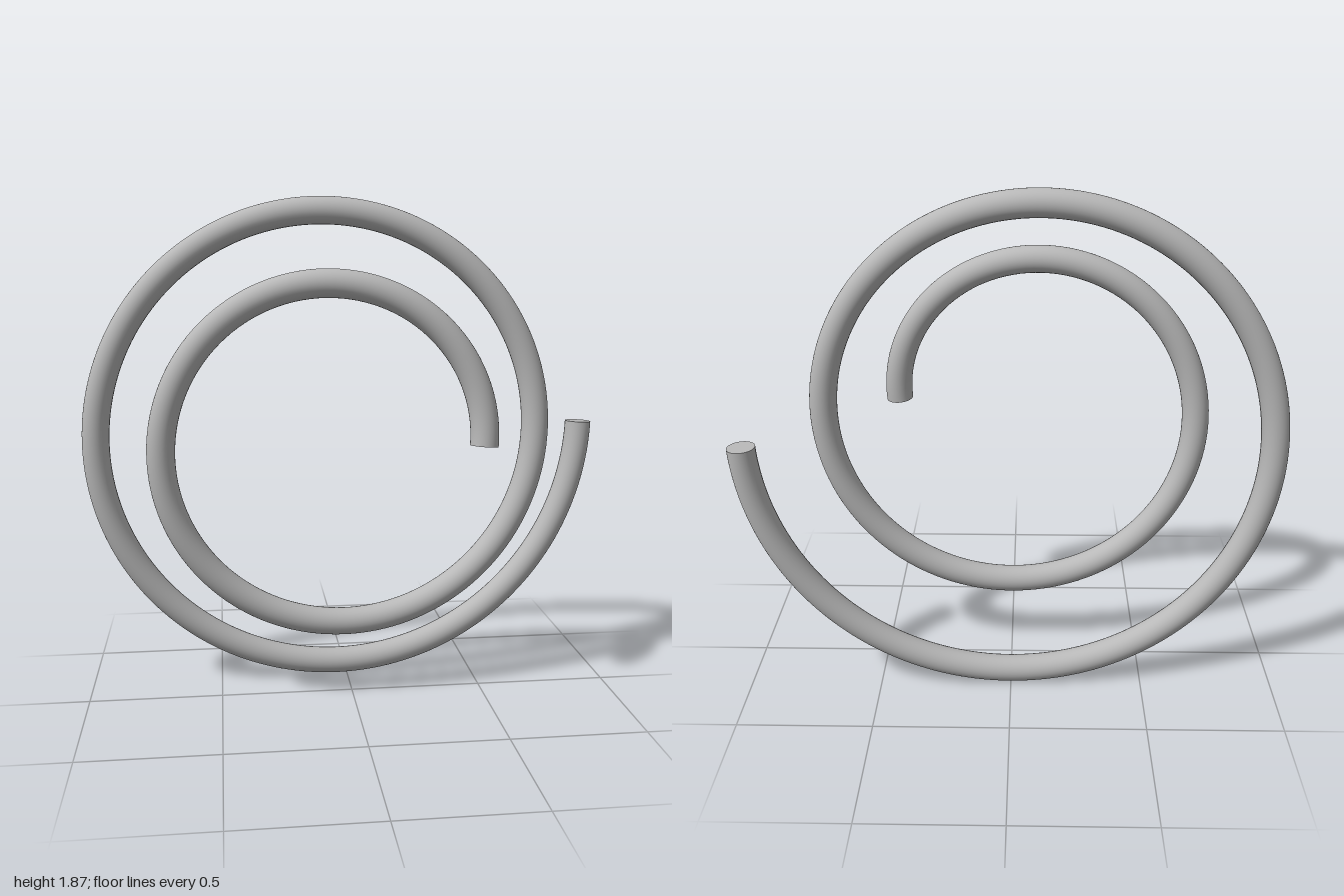
import * as THREE from 'three';

const UNIT = 2 / 39.5;      // wire radius; every other size is a multiple of it
const TURNS = 2;
const SIDES = 32;

// Conical spiral: grows from 10 to 20 units in radius while moving backwards
class ConicalSpiral extends THREE.Curve {
  getPoint(t, target = new THREE.Vector3()) {
    const angle = t * TURNS * Math.PI * 2;
    const radius = (10 + 10 * t) * UNIT;
    return target.set(
      1 - 21 * UNIT + radius * Math.cos(angle),
      1 + radius * Math.sin(angle),
      (5 - 10 * t) * UNIT
    );
  }
}

export function createModel() {
  const group = new THREE.Group();
  group.name = 'spiralSpring';
  const metal = new THREE.MeshStandardMaterial({ color: 0xb8b8b8 });
  metal.name = 'grey metal';

  // Round wire
  const path = new ConicalSpiral();
  path.arcLengthDivisions = 1000;
  const wire = new THREE.Mesh(new THREE.TubeGeometry(path, 320, UNIT, SIDES, false), metal);
  wire.name = 'wire';
  group.add(wire);

  // Flat discs closing both ends, facing outwards along the path
  for (const [name, t, direction] of [['innerEnd', 0, -1], ['outerEnd', 1, 1]]) {
    const cap = new THREE.Mesh(new THREE.CircleGeometry(UNIT, SIDES), metal);
    cap.name = name;
    cap.position.copy(path.getPoint(t));
    const normal = path.getTangent(t).multiplyScalar(direction);
    cap.quaternion.setFromUnitVectors(new THREE.Vector3(0, 0, 1), normal);
    group.add(cap);
  }
  return group;
}
